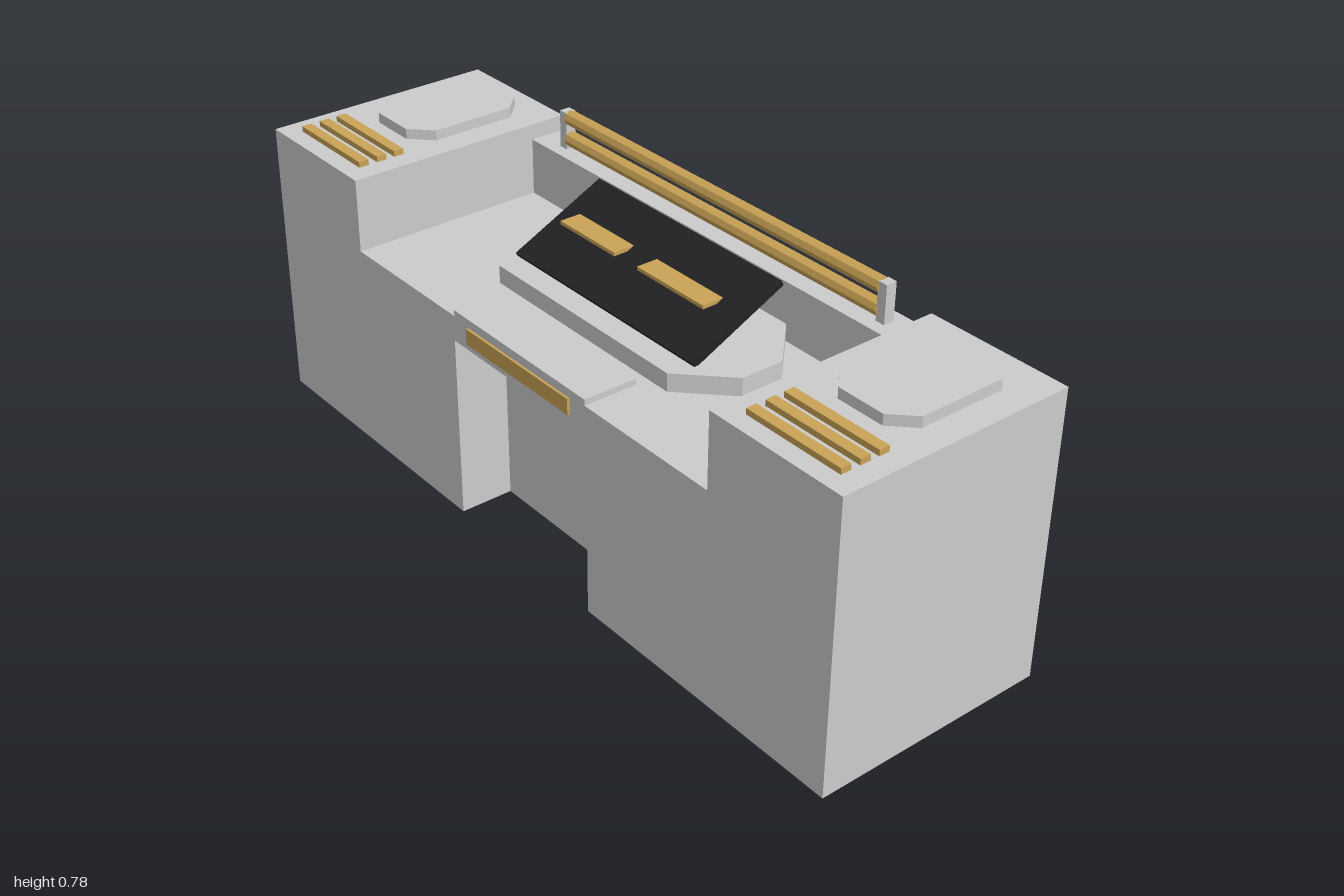
import * as THREE from 'three';

const grey = new THREE.MeshStandardMaterial({ color: 0xcccccc, flatShading: true });
const gold = new THREE.MeshStandardMaterial({ color: 0xc9a356, flatShading: true });
const black = new THREE.MeshStandardMaterial({ color: 0x222225, flatShading: true });

export function createModel() {
  const model = new THREE.Group();

  const add = (name, geometry, material, x = 0, y = 0, z = 0) => {
    const mesh = new THREE.Mesh(geometry, material);
    mesh.name = name;
    mesh.position.set(x, y, z);
    model.add(mesh);
    return mesh;
  };
  // Box given by its lower and upper limits on each axis
  const box = (name, material, [x0, x1], [y0, y1], [z0, z1]) =>
    add(name, new THREE.BoxGeometry(x1 - x0, y1 - y0, z1 - z0), material,
      (x0 + x1) / 2, (y0 + y1) / 2, (z0 + z1) / 2);

  // Slice of the body: half outline in x, y mirrored across x = 0, run from z0 to z1
  const slice = (name, half, z0, z1) => {
    const points = [...half, ...half.map(([x, y]) => [-x, y]).reverse()];
    const shape = new THREE.Shape(points.map(([x, y]) => new THREE.Vector2(x, y)));
    add(name, new THREE.ExtrudeGeometry(shape, { depth: z1 - z0, bevelEnabled: false }), grey, 0, 0, z0);
  };
  // Flat octagonal slab with clipped corners, standing on y
  const slab = (name, w, d, clip, h, x, y, z) => {
    const a = w / 2, b = d / 2;
    const shape = new THREE.Shape([
      [a, b - clip], [a - clip, b], [clip - a, b], [-a, b - clip],
      [-a, clip - b], [clip - a, -b], [a - clip, -b], [a, clip - b],
    ].map(([u, v]) => new THREE.Vector2(u, v)));
    const geometry = new THREE.ExtrudeGeometry(shape, { depth: h, bevelEnabled: false });
    add(name, geometry.rotateX(-Math.PI / 2), grey, x, y, z);
  };

  // Body: rear wall, recessed deck, and front with doorway and raised lintel
  slice('rearBody', [[1, 0], [1, 0.72], [0.633, 0.72], [0.633, 0.68]], -0.303, -0.21);
  slice('middleBody', [[1, 0], [1, 0.72], [0.633, 0.72], [0.633, 0.535]], -0.21, 0.16);
  slice('frontBody', [
    [0.243, 0.47], [0.243, 0], [1, 0], [1, 0.72], [0.633, 0.72],
    [0.633, 0.535], [0.24, 0.535], [0.24, 0.55],
  ], 0.16, 0.297);
  box('lintelPlate', gold, [-0.187, 0.187], [0.488, 0.528], [0.29, 0.303]);

  // Console: plinth, tilted screen and two level display bars
  slab('consolePlinth', 0.83, 0.335, 0.112, 0.045, 0, 0.535, -0.04);
  const screen = add('consoleScreen', new THREE.BoxGeometry(0.636, 0.014, 0.271), black, 0, 0.64, -0.055);
  screen.rotation.x = 0.445;
  box('displayBar', gold, [-0.27, -0.07], [0.651, 0.66], [-0.1, -0.024]);
  box('displayBar', gold, [0.012, 0.237], [0.651, 0.66], [-0.1, -0.024]);

  // Rear railing
  for (const y of [0.705, 0.76]) {
    const rail = add('rail', new THREE.CylinderGeometry(0.019, 0.019, 1.075, 8), gold, 0, y, -0.256);
    rail.rotation.z = Math.PI / 2;
  }

  for (const side of [-1, 1]) {
    const post = box('railPost', grey, [0.535, 0.56], [0.68, 0.775], [-0.27, -0.242]);
    post.position.x *= side;
    // Roof slab and vent strips on each side block
    slab('roofSlab', 0.226, 0.322, 0.052, 0.026, side * 0.815, 0.72, -0.084);
    for (const z of [0.142, 0.19, 0.239]) {
      const strip = box('ventStrip', gold, [0.687, 0.947], [0.715, 0.734], [z - 0.013, z + 0.013]);
      strip.position.x *= side;
    }
  }
  return model;
}
